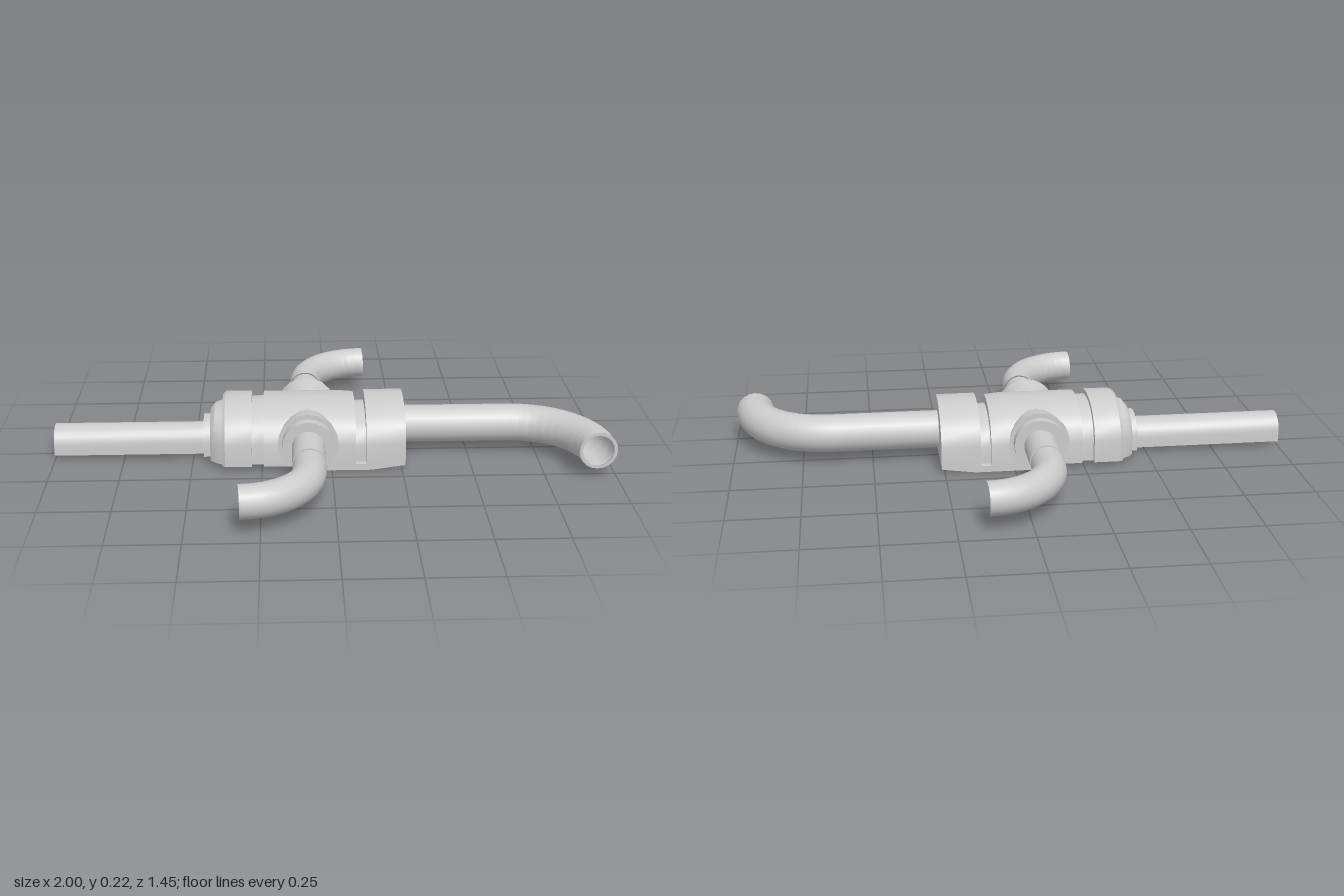
import * as THREE from 'three';
import { toCreasedNormals } from 'three/addons/utils/BufferGeometryUtils.js';

const grey = new THREE.MeshStandardMaterial({ color: 0xcccccc });
const inside = new THREE.MeshStandardMaterial({ color: 0xcccccc, side: THREE.BackSide });

function part(name, geometry, material = grey) {
  const mesh = new THREE.Mesh(geometry, material);
  mesh.name = name;
  return mesh;
}

// Flat-bottomed arch lofted along x; each section is [x, halfWidth, top].
function archLoft(sections, bottom = 0.02, steps = 12) {
  const pos = [], index = [], n = steps + 3;
  for (const [x, a, top] of sections) {
    const spring = bottom + (top - bottom) * 0.4;
    pos.push(x, bottom, a);
    for (let i = 0; i <= steps; i++) {
      const t = (i / steps) * Math.PI;
      pos.push(x, spring + (top - spring) * Math.sin(t), a * Math.cos(t));
    }
    pos.push(x, bottom, -a);
  }
  for (let s = 0; s < sections.length - 1; s++) {
    for (let i = 0; i < n; i++) {
      const j = (i + 1) % n, p = s * n, q = p + n;
      index.push(p + i, q + i, q + j, p + i, q + j, p + j);
    }
  }
  const end = (sections.length - 1) * n;
  for (let i = 1; i < n - 1; i++) {
    index.push(0, i, i + 1, end, end + i + 1, end + i);
  }
  const g = new THREE.BufferGeometry();
  g.setAttribute('position', new THREE.Float32BufferAttribute(pos, 3));
  g.setIndex(index);
  return toCreasedNormals(g, 0.5);
}

// Straight run along +x followed by a quarter bend toward +z, in local space.
function bentPath(straight, radius) {
  const path = new THREE.CurvePath();
  const pts = [new THREE.Vector3(0, 0, 0)];
  for (let i = 0; i <= 10; i++) {
    const t = (i / 10) * Math.PI / 2;
    pts.push(new THREE.Vector3(straight + radius * Math.sin(t), 0, radius * (1 - Math.cos(t))));
  }
  for (let i = 0; i < pts.length - 1; i++) path.add(new THREE.LineCurve3(pts[i], pts[i + 1]));
  return path;
}

// Press the underside of a pipe flat at the given local height.
function flatten(geometry, low) {
  const p = geometry.attributes.position;
  for (let i = 0; i < p.count; i++) p.setY(i, Math.max(p.getY(i), low));
  return toCreasedNormals(geometry, 0.6);
}

// Cylinder along z from z0 to z1 with a radius at each end.
function zCylinder(r0, r1, z0, z1, open = false) {
  const g = new THREE.CylinderGeometry(r1, r0, z1 - z0, 20, 1, open);
  g.rotateX(Math.PI / 2);
  g.translate(0, 0, (z0 + z1) / 2);
  return g;
}

// Side branch pointing to +z, bending toward -x.
function sideBranch(name) {
  const g = new THREE.Group();
  g.name = name;
  g.add(part('branchSaddle', flatten(zCylinder(0.085, 0.108, 0.05, 0.19), -0.09)));
  g.add(part('branchFlange', flatten(zCylinder(0.092, 0.092, 0.188, 0.222), -0.088)));
  g.add(part('branchNeck', flatten(zCylinder(0.058, 0.058, 0.2, 0.37), -0.055)));
  g.add(part('branchGroove', flatten(zCylinder(0.052, 0.052, 0.37, 0.388), -0.052)));
  const elbow = flatten(new THREE.TubeGeometry(bentPath(0.045, 0.235), 44, 0.058, 18), -0.058 * 0.98);
  elbow.rotateY(-Math.PI / 2);
  elbow.translate(0, 0, 0.385);
  g.add(part('branchElbow', elbow));
  return g;
}

export function createModel() {
  const model = new THREE.Group();
  model.name = 'pipeManifold';

  // Main housing with its stepped nose and two grooves
  model.add(part('housing', archLoft([
    [-0.46, 0.092, 0.145], [-0.435, 0.092, 0.145], [-0.435, 0.125, 0.165],
    [-0.42, 0.145, 0.182], [-0.39, 0.165, 0.19], [-0.39, 0.18, 0.213],
    [-0.38, 0.188, 0.22], [-0.285, 0.188, 0.22], [-0.285, 0.168, 0.203],
    [-0.242, 0.168, 0.203], [-0.242, 0.188, 0.218], [0.03, 0.188, 0.218],
    [0.085, 0.188, 0.212], [0.085, 0.165, 0.18], [0.122, 0.165, 0.18],
    [0.122, 0.188, 0.22], [0.262, 0.188, 0.22],
  ])));

  // Inlet with a flat underside
  model.add(part('inletPipe', archLoft([[-1, 0.063, 0.117], [-0.45, 0.063, 0.117]])));

  // Foot rails under both long edges
  const foot = new THREE.Shape([
    new THREE.Vector2(-0.08, 0.025), new THREE.Vector2(-0.08, 0.002),
    new THREE.Vector2(0.14, 0.002), new THREE.Vector2(0.26, 0.018),
    new THREE.Vector2(0.26, 0.025),
  ]);
  for (const [name, z] of [['leftFoot', 0.127], ['rightFoot', -0.188]]) {
    const g = new THREE.ExtrudeGeometry(foot, { depth: 0.061, bevelEnabled: false });
    g.translate(0, 0, z);
    model.add(part(name, g));
  }

  // Outlet: hollow bent pipe with a rim
  const outlet = new THREE.Group();
  outlet.name = 'outlet';
  const path = bentPath(0.4, 0.28);
  outlet.add(part('outletPipe', toCreasedNormals(new THREE.TubeGeometry(path, 60, 0.068, 20), 0.6)));
  outlet.add(part('outletBore', new THREE.TubeGeometry(path, 60, 0.056, 20), inside));
  const rim = part('outletRim', new THREE.RingGeometry(0.056, 0.068, 20));
  rim.position.set(0.68, 0, 0.28);
  outlet.add(rim);
  outlet.position.set(0.25, 0.103, 0);
  model.add(outlet);

  // Two opposed branches, turned half a revolution apart
  const front = sideBranch('frontBranch');
  const back = sideBranch('backBranch');
  back.rotation.y = Math.PI;
  for (const b of [front, back]) {
    b.position.set(-0.085, 0.108, 0);
    model.add(b);
  }
  return model;
}
